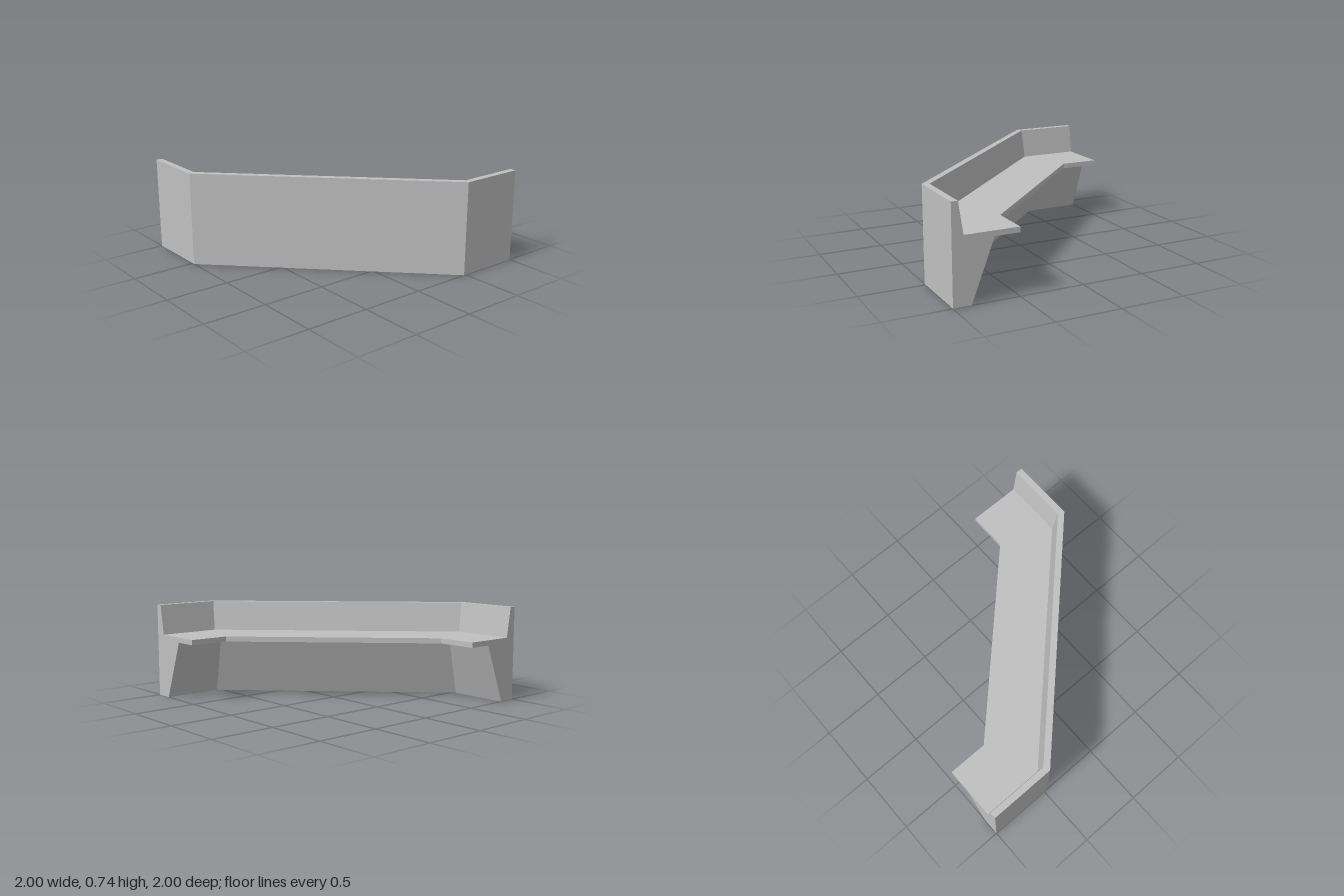
import * as THREE from 'three';

// Cross-section: [depth inward from the outer face, height]
const PROFILE = [
  [0, 0], [0, 0.735],            // outer wall
  [0.05, 0.735], [0.085, 0.5],   // top rail, sloped backrest
  [0.5, 0.5], [0.5, 0.46],       // seat and its front lip
  [0.31, 0.46], [0.135, 0],      // seat underside, sloped base
];

// Mitred path in plan: [x, z] of the outer face and of the seat's front edge
const OUTER = [[-1, 1], [-0.48, 1], [1, -0.48], [1, -1]];
const INNER = [[-1, 0.5], [-0.687, 0.5], [0.5, -0.687], [0.5, -1]];

function sweepProfile() {
  const rings = OUTER.map(([ox, oz], i) => PROFILE.map(([d, y]) => {
    const t = d / 0.5;
    return [ox + (INNER[i][0] - ox) * t, y, oz + (INNER[i][1] - oz) * t];
  }));
  const positions = [];
  const triangle = (a, b, c) => positions.push(...a, ...b, ...c);

  // Long faces between neighbouring rings
  const n = PROFILE.length;
  for (let i = 0; i < rings.length - 1; i++) {
    const a = rings[i], b = rings[i + 1];
    for (let j = 0; j < n; j++) {
      const k = (j + 1) % n;
      triangle(a[j], b[j], b[k]);
      triangle(a[j], b[k], a[k]);
    }
  }

  // End caps
  const contour = PROFILE.map(([d, y]) => new THREE.Vector2(d, y)).reverse();
  const first = [...rings[0]].reverse();
  const last = [...rings[rings.length - 1]].reverse();
  for (const [p, q, r] of THREE.ShapeUtils.triangulateShape(contour, [])) {
    triangle(first[p], first[r], first[q]);
    triangle(last[p], last[q], last[r]);
  }

  const geometry = new THREE.BufferGeometry();
  geometry.setAttribute('position', new THREE.Float32BufferAttribute(positions, 3));
  geometry.computeVertexNormals();
  return geometry;
}

export function createModel() {
  const group = new THREE.Group();
  group.name = 'cornerBench';
  const grey = new THREE.MeshStandardMaterial({ color: 0xc0c0c0 });
  grey.name = 'light grey';
  const bench = new THREE.Mesh(sweepProfile(), grey);
  bench.name = 'benchBody';
  group.add(bench);
  return group;
}
